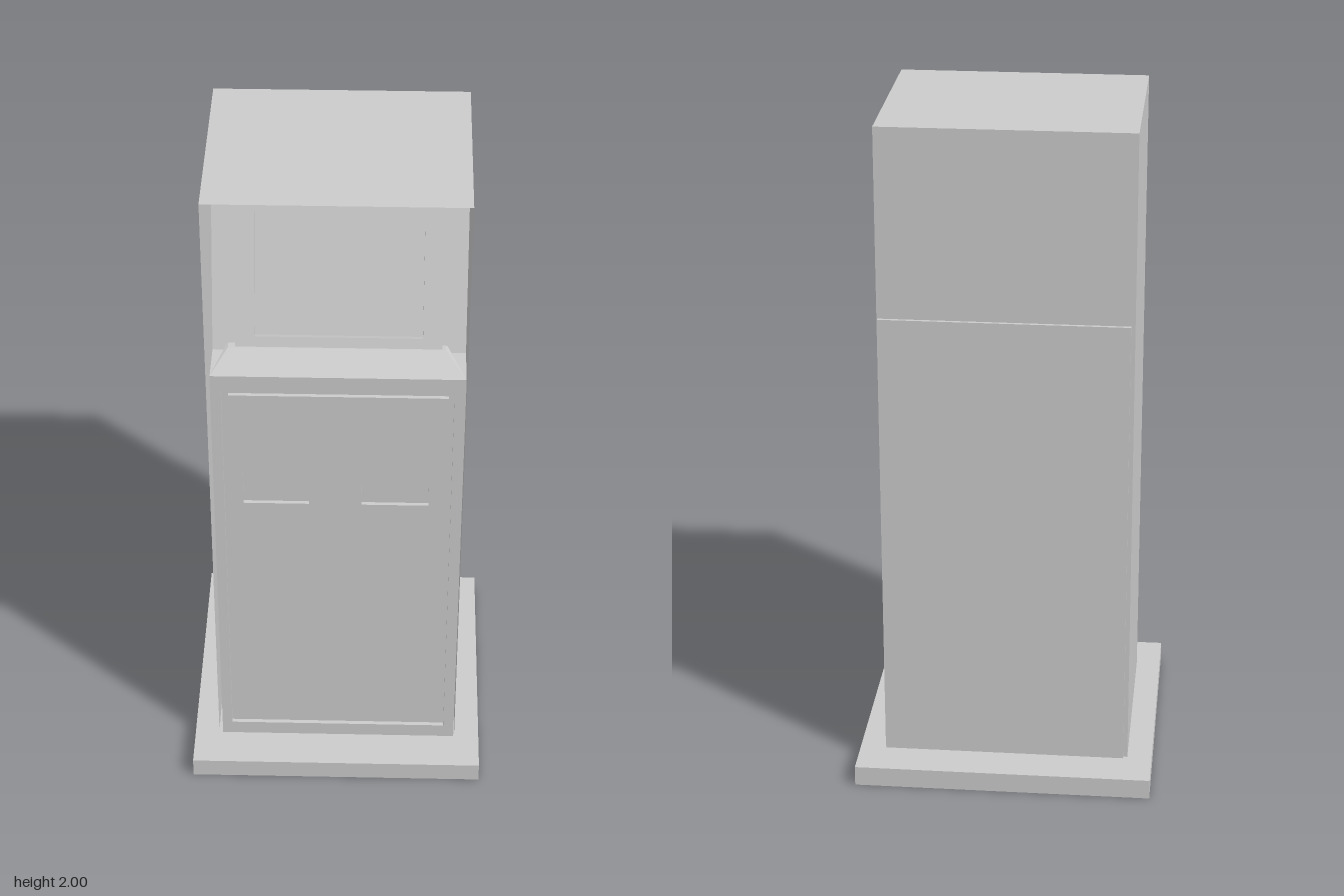
import * as THREE from 'three';
import { ConvexGeometry } from 'three/addons/geometries/ConvexGeometry.js';

const solid = new THREE.MeshStandardMaterial({ color: 0xcccccc, flatShading: true });
const sheet = new THREE.MeshStandardMaterial({ color: 0xcccccc, flatShading: true, side: THREE.DoubleSide });

function add(parent, name, geometry, material = solid) {
  const mesh = new THREE.Mesh(geometry, material);
  mesh.name = name;
  parent.add(mesh);
  return mesh;
}

// Corners of a rectangle given as [x0, x1, y0, y1]
function corners([x0, x1, y0, y1]) {
  return [[x0, y0], [x1, y0], [x1, y1], [x0, y1]].map(([x, y]) => new THREE.Vector2(x, y));
}

// Flat rectangular plate with rectangular openings
function plate(outer, holes, depth) {
  const shape = new THREE.Shape(corners(outer));
  for (const h of holes) shape.holes.push(new THREE.Path(corners(h).reverse()));
  return new THREE.ExtrudeGeometry(shape, { depth, bevelEnabled: false });
}

export function createModel() {
  const model = new THREE.Group();
  model.name = 'kiosk';

  // Floor plinth
  add(model, 'base', new THREE.BoxGeometry(0.88, 0.06, 0.88)).position.y = 0.03;

  // Thin outer shell, open at the front
  const shell = new THREE.Group();
  shell.name = 'shell';
  model.add(shell);
  const L = -0.367, R = 0.365, B = -0.305, F = 0.303, Y0 = 0.06, Y1 = 2;
  const midX = (L + R) / 2, midY = (Y0 + Y1) / 2, midZ = (B + F) / 2;
  for (const x of [L, R]) {
    const side = add(shell, 'sidePanel', new THREE.PlaneGeometry(F - B, Y1 - Y0), sheet);
    side.rotation.y = Math.sign(x) * Math.PI / 2;
    side.position.set(x, midY, midZ);
  }
  const back = add(shell, 'backPanel', new THREE.PlaneGeometry(R - L, Y1 - Y0), sheet);
  back.rotation.y = Math.PI;
  back.position.set(midX, midY, B);
  const roof = add(shell, 'roof', new THREE.PlaneGeometry(R - L, F - B), sheet);
  roof.rotation.x = -Math.PI / 2;
  roof.position.set(midX, Y1, midZ);

  // Inner body: side profile (z, y) with a sloping display face
  const x0 = -0.355, x1 = 0.362;
  const profile = [[-0.29, 0.06], [0.3, 0.06], [0.3, 1.435], [0.178, 1.435], [0.022, 1.93], [-0.29, 1.93]];
  const body = add(model, 'innerBody', new THREE.ExtrudeGeometry(
    new THREE.Shape(profile.map(p => new THREE.Vector2(...p))), { depth: x1 - x0, bevelEnabled: false }));
  body.rotation.y = -Math.PI / 2;
  body.position.x = x1;

  // Rear service door
  add(model, 'rearDoor', new THREE.BoxGeometry(x1 - x0, 1.38, 0.025))
    .position.set((x0 + x1) / 2, 0.75, -0.3025);

  // Front frame, and the door inside it with two recessed openings
  add(model, 'frontFrame', plate([x0, x1, 0.06, 1.44], [[-0.325, 0.33, 0.105, 1.39]], 0.013)).position.z = 0.3;
  const slots = [[-0.27, -0.08, 0.985, 1.105], [0.072, 0.265, 0.985, 1.105]];
  add(model, 'frontDoor', plate([-0.305, 0.315, 0.13, 1.373], slots, 0.012)).position.z = 0.3;

  // Ledge below the display, narrowing and rising towards the back
  const ledge = [];
  for (const [a, b, y, z] of [[x0, x1, 1.44, 0.313], [x0, x1, 1.43, 0.313],
    [-0.31, 0.305, 1.455, 0.195], [-0.31, 0.305, 1.455, 0.16], [-0.31, 0.305, 1.43, 0.16]])
    ledge.push(new THREE.Vector3(a, y, z), new THREE.Vector3(b, y, z));
  add(model, 'ledge', new ConvexGeometry(ledge));

  // Raised display surround lying on the sloping face
  const display = new THREE.Group();
  display.name = 'display';
  display.position.set(0, 1.435, 0.178);
  display.rotation.x = -Math.atan2(0.156, 0.495);
  model.add(display);
  add(display, 'displayBezel', plate([-0.29, 0.295, 0.0, 0.466], [[-0.235, 0.24, 0.046, 0.409]], 0.018));

  return model;
}
